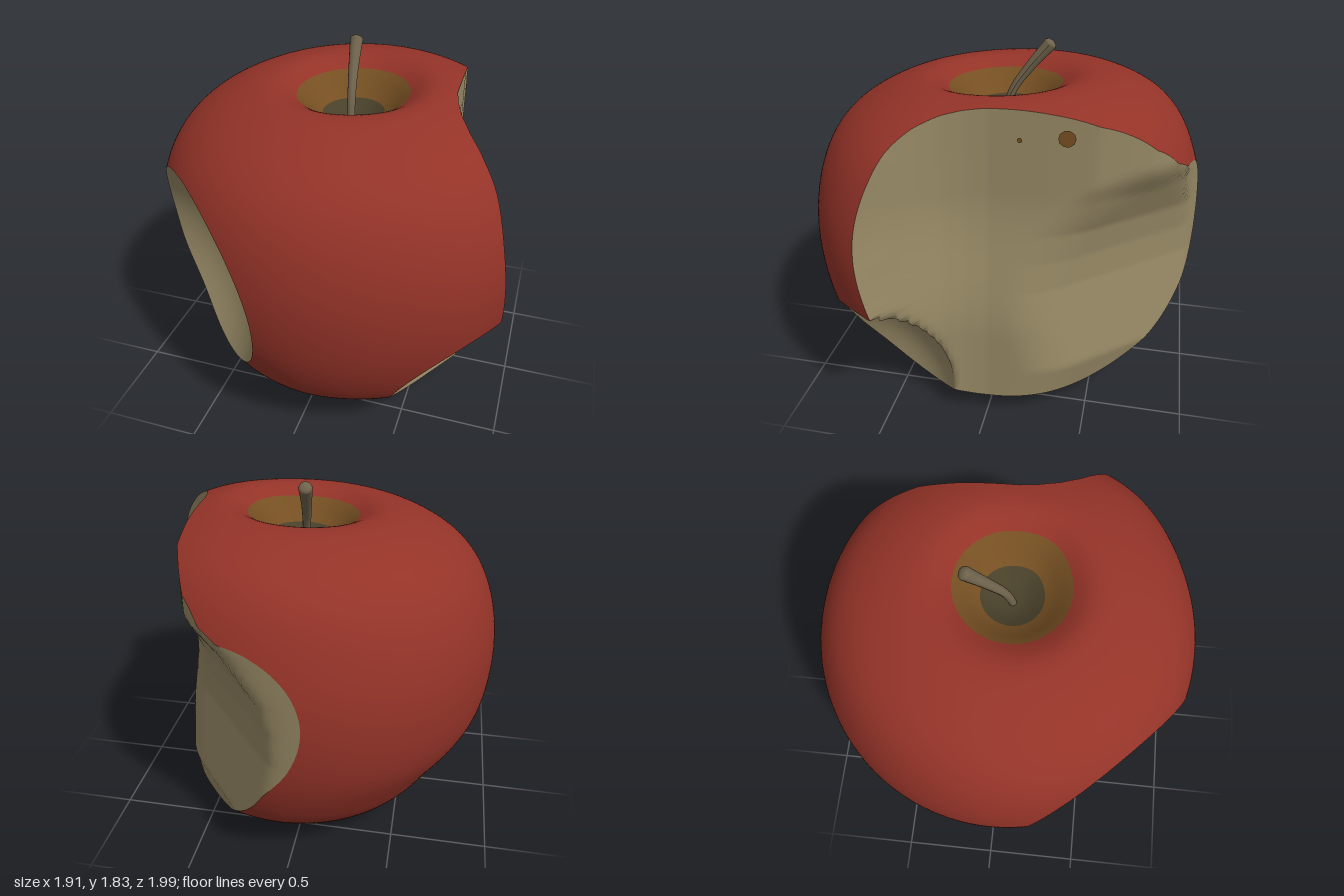
import * as THREE from 'three';

const { smoothstep } = THREE.MathUtils;
const mat = (name, color) => {
  const m = new THREE.MeshStandardMaterial({ color });
  m.name = name;
  return m;
};
const MATS = {
  skin: mat('red skin', 0x943328),
  flesh: mat('pale flesh', 0x978965),
  hollow: mat('brown hollow', 0x754f22),
  core: mat('dark hollow centre', 0x484029),
  baseHollow: mat('dark brown base hollow', 0x64441e),
  baseCore: mat('darkest base centre', 0x342e1b),
  stem: mat('stem wood', 0x6f634c),
};

// Piecewise linear lookup through [key, value] pairs
function lerpTable(table, k) {
  if (k <= table[0][0]) return table[0][1];
  for (let i = 1; i < table.length; i++) {
    const [k0, v0] = table[i - 1], [k1, v1] = table[i];
    if (k <= k1) return v0 + (v1 - v0) * (k - k0) / (k1 - k0);
  }
  return table[table.length - 1][1];
}

// Smaller of two values, rounded where they meet
function softMin(a, b, k) {
  const h = Math.max(k - Math.abs(a - b), 0) / k;
  return Math.min(a, b) - h * h * k / 4;
}

// Side bite: limit of x for each z, and a slanted back limit for each height
const SIDE = [[-1, -0.2], [-0.94, 0.1], [-0.9, 0.28], [-0.85, 0.37], [-0.75, 0.47], [-0.5, 0.56],
  [-0.3, 0.575], [0, 0.585], [0.1, 0.605], [0.2, 0.64], [0.3, 0.7], [0.4, 0.79], [0.46, 0.86],
  [0.56, 0.95], [0.62, 1.1], [0.7, 1.4]];
const BACK = [[0.1, 0.88], [0.3, 0.94], [0.5, 0.9], [0.75, 0.85], [0.9, 0.85], [1.05, 0.88],
  [1.25, 1.0], [1.38, 1.16]];
const sideLimit = (y, z) => softMin(
  lerpTable(SIDE, z) + 0.1 * (1 - smoothstep(y, 0.5, 1.25)),
  lerpTable(BACK, y) + 0.85 * z, 0.12);

// Rounded bites: centre, radius and vertical squash
const SCOOPS = [
  [new THREE.Vector3(-0.98, 0.76, 1.04), 0.85, 1.12],
  [new THREE.Vector3(1.0, 0.2, 0.62), 0.54, 1],
];
const bitten = (p) => p.x > sideLimit(p.y, p.z) || SCOOPS.some(([c, r, squash]) =>
  Math.hypot(p.x - c.x, (p.y - c.y) * squash, p.z - c.z) < r);

// Last whole point on the way from a whole point to a bitten one
function biteEdge(whole, cut) {
  const p = new THREE.Vector3();
  let lo = 0, hi = 1;
  for (let n = 0; n < 22; n++) {
    const mid = (lo + hi) / 2;
    if (bitten(p.lerpVectors(whole, cut, mid))) hi = mid; else lo = mid;
  }
  return p.lerpVectors(whole, cut, lo);
}

// Outline from the bottom hollow, round the side, into the top hollow
const PROFILE = [[0, 0.14], [0.1, 0.125], [0.2, 0.06], [0.33, 0.005], [0.55, 0.07], [0.72, 0.2],
  [0.86, 0.37], [0.96, 0.62], [1, 0.9], [0.98, 1.15], [0.9, 1.38], [0.78, 1.53], [0.6, 1.63],
  [0.42, 1.67], [0.3, 1.63], [0.18, 1.53], [0.08, 1.47], [0, 1.46]];
const CENTRE = new THREE.Vector3(0.05, 0.8, 0);

// Point of the whole fruit: fuller at the front left, slimmer low on the right,
// rim tilted, hollows a little off centre
function fruitPoint(r, y, a) {
  const bulge = 0.05 * Math.exp(-(((a - 0.93) / 0.42) ** 2));
  const slim = 0.07 * Math.max(0, -Math.sin(a)) * Math.exp(-(((y - 0.35) / 0.2) ** 2));
  const rad = Math.max(r, 0) * (1 + bulge - slim);
  const x = rad * Math.sin(a), z = rad * Math.cos(a);
  const shift = (1 - smoothstep(r, 0.25, 0.6)) * (y > 0.8 ? 0.02 : 0.05);
  return new THREE.Vector3(CENTRE.x + x + shift,
    y + smoothstep(y, 1.2, 1.6) * (0.03 * x - 0.04 * z), z + shift);
}

// Body whose bitten points are pushed towards the centre
function buildBody(group) {
  const COLS = 200, ROWS = 150;
  const outline = new THREE.SplineCurve(PROFILE.map(([r, y]) => new THREE.Vector2(r, y)))
    .getSpacedPoints(ROWS);
  const outer = [], points = [], cut = [];
  for (const { x: r, y } of outline) {
    for (let c = 0; c < COLS; c++) {
      const p = fruitPoint(r, y, c / COLS * Math.PI * 2);
      const isCut = bitten(p);
      outer.push(p);
      cut.push(isCut);
      points.push(isCut ? biteEdge(CENTRE, p) : p);
    }
  }

  // Point where a face edge crosses the rim of a bite, shared between faces
  const crossings = new Map();
  function crossing(i, j) {
    const [whole, gone] = cut[i] ? [j, i] : [i, j];
    const key = `${whole},${gone}`;
    if (!crossings.has(key)) crossings.set(key, points.push(biteEdge(outer[whole], outer[gone])) - 1);
    return crossings.get(key);
  }

  // Sort the faces into coloured parts, splitting those on a rim
  const faces = { skin: [], flesh: [], hollow: [], core: [], baseHollow: [], baseCore: [] };
  const addPolygon = (part, ids) => {
    for (let i = 2; i < ids.length; i++) faces[part].push(ids[0], ids[i - 1], ids[i]);
  };
  function addFace(row, ids) {
    const r = outline[row].x, low = row < ROWS / 2;
    let part = 'skin';
    if (r < (low ? 0.14 : 0.17)) part = low ? 'baseCore' : 'core';
    else if (r < (low ? 0.25 : 0.29)) part = low ? 'baseHollow' : 'hollow';
    const whole = [], gone = [];
    ids.forEach((id, k) => {
      const next = ids[(k + 1) % 3];
      (cut[id] ? gone : whole).push(id);
      if (cut[id] !== cut[next]) {
        const x = crossing(id, next);
        whole.push(x);
        gone.push(x);
      }
    });
    addPolygon(part, whole);
    addPolygon('flesh', gone);
  }
  for (let row = 0; row < ROWS; row++) {
    for (let c = 0; c < COLS; c++) {
      const n = (c + 1) % COLS;
      const a = row * COLS + c, b = row * COLS + n, d = a + COLS, e = b + COLS;
      addFace(row, [a, b, e]);
      addFace(row, [a, e, d]);
    }
  }
  for (const part of Object.keys(faces)) {
    const geo = new THREE.BufferGeometry().setFromPoints(points);
    geo.setIndex(faces[part]);
    geo.computeVertexNormals();
    const mesh = new THREE.Mesh(geo, MATS[part]);
    mesh.name = part;
    group.add(mesh);
  }
}

// Curved stem, thicker towards its tip
function buildStem() {
  const stem = new THREE.Group();
  stem.name = 'stem';
  const curve = new THREE.CatmullRomCurve3([
    new THREE.Vector3(0.06, 1.43, 0.03), new THREE.Vector3(0.05, 1.57, -0.01),
    new THREE.Vector3(0.035, 1.69, -0.09), new THREE.Vector3(0.02, 1.81, -0.19)]);
  const SEG = 16, SIDES = 10;
  const geo = new THREE.TubeGeometry(curve, SEG, 1, SIDES);
  const pos = geo.attributes.position, p = new THREE.Vector3();
  for (let i = 0; i < pos.count; i++) {
    const t = Math.floor(i / (SIDES + 1)) / SEG;
    const c = curve.getPointAt(t);
    p.fromBufferAttribute(pos, i).sub(c).multiplyScalar(0.02 + 0.015 * t * t).add(c);
    pos.setXYZ(i, p.x, p.y, p.z);
  }
  geo.computeVertexNormals();
  const tip = new THREE.Mesh(new THREE.SphereGeometry(0.035, SIDES, 8), MATS.stem);
  tip.name = 'stemTip';
  tip.scale.y = 0.6;
  tip.position.copy(curve.getPointAt(1));
  tip.quaternion.setFromUnitVectors(new THREE.Vector3(0, 1, 0), curve.getTangentAt(1));
  const shaft = new THREE.Mesh(geo, MATS.stem);
  shaft.name = 'stemShaft';
  stem.add(shaft, tip);
  return stem;
}

// Thin brown blemish lying on the side bite
function buildSpot(y, z, r) {
  const geo = new THREE.CircleGeometry(r, 10).rotateY(Math.PI / 2).translate(0, y, z);
  const pos = geo.attributes.position;
  for (let i = 0; i < pos.count; i++) pos.setX(i, sideLimit(pos.getY(i), pos.getZ(i)) + 0.006);
  geo.computeVertexNormals();
  const spot = new THREE.Mesh(geo, MATS.hollow);
  spot.name = 'fleshSpot';
  return spot;
}

export function createModel() {
  const group = new THREE.Group();
  group.name = 'bittenApple';
  buildBody(group);
  group.add(buildStem(), buildSpot(1.55, -0.36, 0.04), buildSpot(1.53, -0.15, 0.012));
  return group;
}
